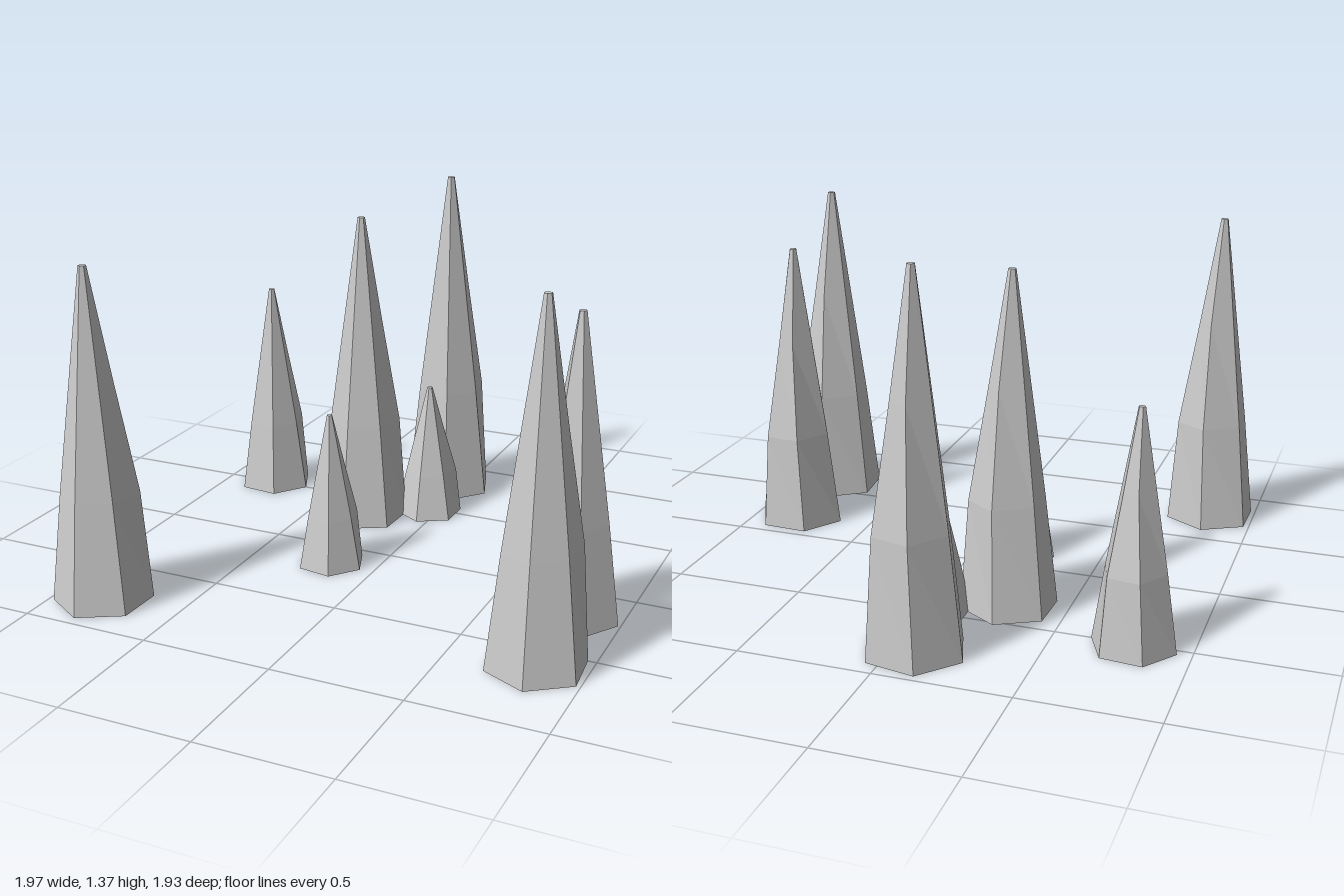
import * as THREE from 'three';

const material = new THREE.MeshStandardMaterial({
  color: 0xcccccc, flatShading: true, side: THREE.DoubleSide,
});

// x, z, base radius, height, angle of the first base corner (degrees)
const SPIKES = [
  [-0.82, 0.775, 0.185, 1.27, -89],
  [-0.08, -0.79, 0.193, 1.37, -109],
  [-0.79, -0.515, 0.157, 0.88, -114],
  [-0.28, -0.34, 0.182, 1.27, -88],
  [-0.04, -0.485, 0.135, 0.55, -90],
  [-0.187, 0.147, 0.134, 0.61, -111],
  [0.81, 0.2, 0.181, 1.15, -117],
  [0.817, 0.605, 0.185, 1.31, -95],
];

// Radius of each ring, from the base to the blunt tip
const RINGS = [1, 0.72, 0.4, 0.08];
// Extra radius on the bulging side and a kink on its first ridge
const BULGE = [0, 0.12, 0.05, 0];
const KINK = [0, 0.1, 0.22, 0];

// Six-sided, hollow spike, open at the base
function spikeGeometry(radius, height, turn) {
  const geo = new THREE.CylinderGeometry(1, 1, height, 6, 3, true);
  geo.translate(0, height / 2, 0);
  const pos = geo.attributes.position;
  for (let i = 0; i < pos.count; i++) {
    const ring = Math.round((pos.getY(i) / height) * 3);
    const corner = (i % 7) % 6;
    const bulge = corner < 2 ? BULGE[ring] : 0;
    const kink = corner === 0 ? KINK[ring] : 0;
    const a = turn + (corner * Math.PI) / 3 + kink;
    const r = radius * (RINGS[ring] + bulge);
    pos.setX(i, Math.cos(a) * r);
    pos.setZ(i, Math.sin(a) * r);
  }
  // corners run the other way round, so flip the winding
  const index = geo.index.array;
  for (let i = 0; i < index.length; i += 3) {
    [index[i], index[i + 1]] = [index[i + 1], index[i]];
  }
  geo.computeVertexNormals();
  return geo;
}

export function createModel() {
  const model = new THREE.Group();
  model.name = 'spikeCluster';
  SPIKES.forEach(([x, z, radius, height, degrees], n) => {
    const turn = THREE.MathUtils.degToRad(degrees);
    const spike = new THREE.Group();
    spike.name = `spike${n + 1}`;
    spike.position.set(x, 0, z);

    const shell = new THREE.Mesh(spikeGeometry(radius, height, turn), material);
    shell.name = 'shell';

    // Small flat tip
    const tip = new THREE.Mesh(new THREE.CircleGeometry(radius * RINGS[3], 6), material);
    tip.name = 'tip';
    tip.rotation.set(-Math.PI / 2, 0, -turn);
    tip.position.y = height;

    spike.add(shell, tip);
    model.add(spike);
  });
  return model;
}
